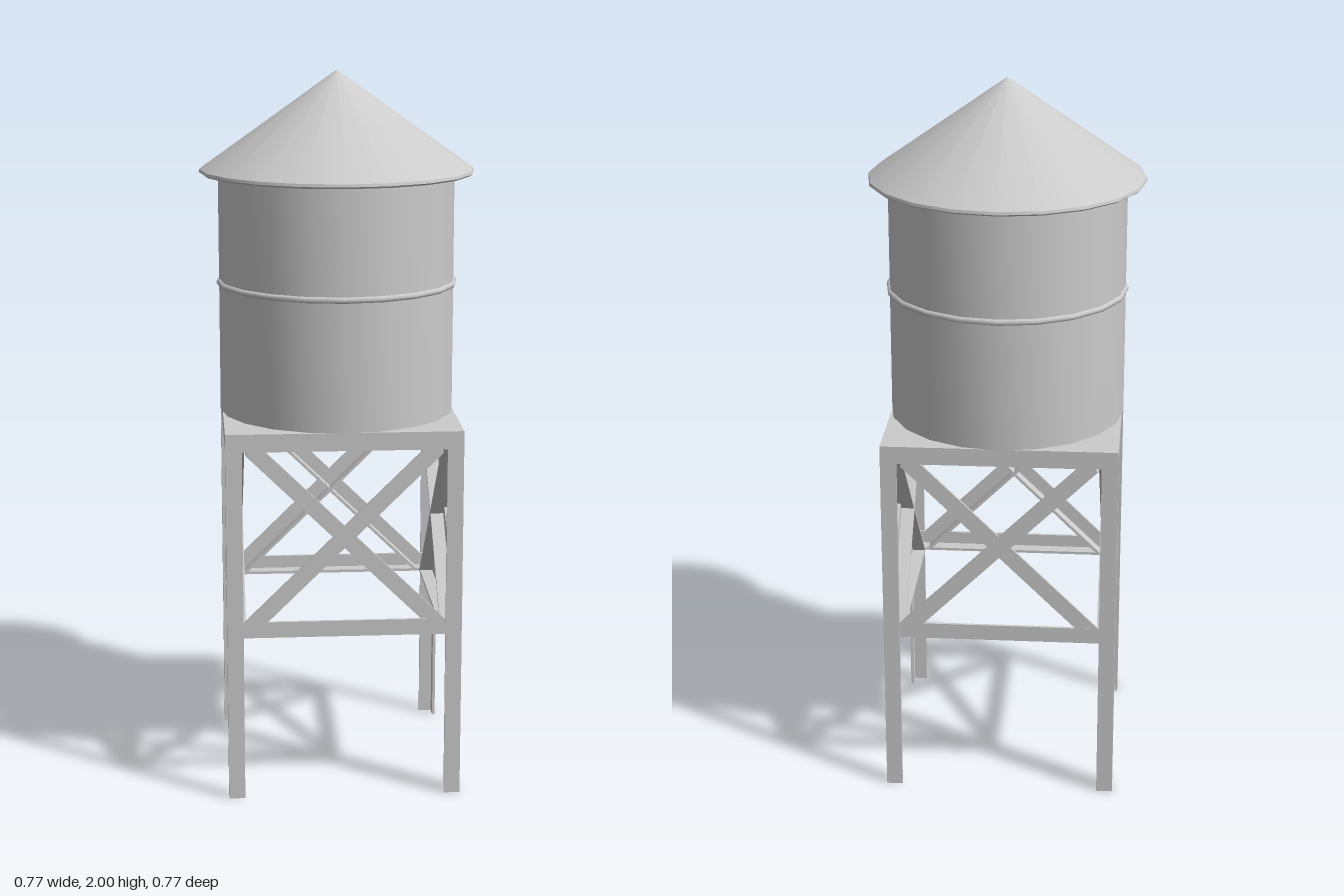
import * as THREE from 'three';
import { toCreasedNormals } from 'three/addons/utils/BufferGeometryUtils.js';

const SIDES = 20;
const HALF = 0.325; // half width of the stand
const W = 0.045;    // width of an angle-iron flange
const T = 0.008;    // thickness of an angle-iron flange

const material = new THREE.MeshStandardMaterial({ color: 0xcccccc });

function addMesh(parent, name, geometry) {
  const mesh = new THREE.Mesh(geometry, material);
  mesh.name = name;
  parent.add(mesh);
  return mesh;
}

// L-section bar along +z: one flange towards -x, the other towards +y
function angleIron(length) {
  const points = [[0, 0], [0, W], [-T, W], [-T, T], [-W, T], [-W, 0]];
  const shape = new THREE.Shape(points.map(([x, y]) => new THREE.Vector2(x, y)));
  return new THREE.ExtrudeGeometry(shape, { depth: length, bevelEnabled: false });
}

// Bar in the front plane of the stand, its second flange pointing inwards
function addBar(parent, name, x1, y1, x2, y2, inset) {
  const start = new THREE.Vector3(x1, y1, HALF - inset);
  const dir = new THREE.Vector3(x2 - x1, y2 - y1, 0);
  const length = dir.length();
  dir.normalize();
  const inward = new THREE.Vector3(0, 0, -1);
  const across = new THREE.Vector3().crossVectors(inward, dir);
  const geometry = angleIron(length);
  geometry.translate(W / 2, 0, 0);
  geometry.applyMatrix4(new THREE.Matrix4().makeBasis(across, inward, dir).setPosition(start));
  addMesh(parent, name, geometry);
}

function lathe(profile) {
  const points = profile.map(([r, y]) => new THREE.Vector2(r, y));
  // quarter turn puts a corner of the polygon on the x axis
  return toCreasedNormals(new THREE.LatheGeometry(points, SIDES, Math.PI / 2), 0.6);
}

export function createModel() {
  const model = new THREE.Group();
  model.name = 'waterTower';

  // Stand: one leg, girder and cross brace per side
  const stand = new THREE.Group();
  stand.name = 'stand';
  model.add(stand);
  for (let i = 0; i < 4; i++) {
    const side = new THREE.Group();
    side.name = 'standSide';
    side.rotation.y = i * Math.PI / 2;
    stand.add(side);

    const leg = addMesh(side, 'leg', angleIron(1.0));
    leg.rotation.x = -Math.PI / 2;
    leg.position.set(HALF, 0, HALF);

    addBar(side, 'girder', -0.31, 0.492, 0.31, 0.492, T);
    addBar(side, 'braceRising', -0.275, 0.485, 0.255, 1.005, T);
    addBar(side, 'braceFalling', -0.255, 1.005, 0.275, 0.485, T + 0.001);
  }

  // Platform
  const platform = addMesh(model, 'platform', new THREE.BoxGeometry(HALF * 2, 0.05, HALF * 2));
  platform.position.y = 1.025;

  // Tank with a raised hoop
  addMesh(model, 'tank', lathe([[0, 1.05], [0.33, 1.05], [0.33, 1.73], [0, 1.73]]));
  const hoop = addMesh(model, 'hoop', new THREE.TorusGeometry(0.329, 0.009, 8, SIDES));
  hoop.rotation.x = Math.PI / 2;
  hoop.position.y = 1.414;

  // Conical roof with a thin rounded eave
  addMesh(model, 'roof', lathe([
    [0, 1.717], [0.376, 1.717], [0.383, 1.722], [0.381, 1.73], [0, 2.0],
  ]));

  return model;
}
